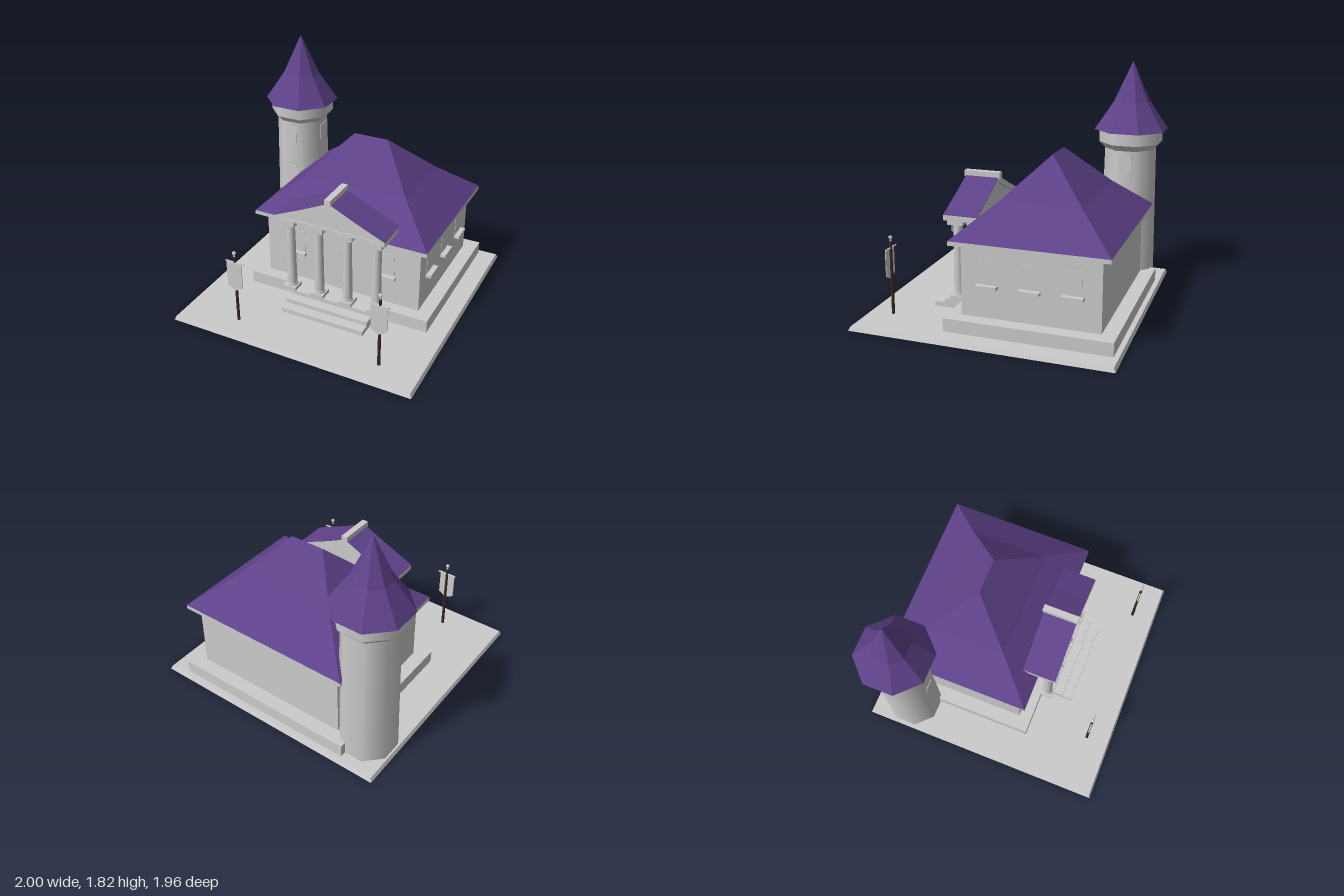
import * as THREE from 'three';
import { toCreasedNormals } from 'three/addons/utils/BufferGeometryUtils.js';

const grey = new THREE.MeshStandardMaterial({ color: 0xcccccc });
const purple = new THREE.MeshStandardMaterial({ color: 0x5f428a });
const brown = new THREE.MeshStandardMaterial({ color: 0x3a291c });
const CX = 0.088; // centre line of the hall
const OCT = 1 / Math.cos(Math.PI / 8); // flat-to-corner ratio of an octagon

export function createModel() {
  const root = new THREE.Group();

  function add(name, geometry, material = grey, parent = root) {
    const mesh = new THREE.Mesh(geometry, material);
    mesh.name = name;
    parent.add(mesh);
    return mesh;
  }
  // Box given by its limits on each axis
  function box(name, x0, x1, y0, y1, z0, z1, parent = root) {
    const mesh = add(name, new THREE.BoxGeometry(x1 - x0, y1 - y0, z1 - z0), grey, parent);
    mesh.position.set((x0 + x1) / 2, (y0 + y1) / 2, (z0 + z1) / 2);
    return mesh;
  }
  // Upright cylinder from y0 to y1
  function drum(name, r0, r1, y0, y1, sides, parent, material = grey, start = 0) {
    const g = new THREE.CylinderGeometry(r1, r0, y1 - y0, sides, 1, false, start);
    add(name, g, material, parent).position.y = (y0 + y1) / 2;
  }
  // Flat-sided solid through stacked rectangles [y, halfX, halfZ]
  function rectLoft(levels) {
    const tri = [];
    const quad = (a, b, c, d) => tri.push(...a, ...b, ...c, ...a, ...c, ...d);
    const rings = levels.map(([y, a, b]) => [[-a, y, b], [a, y, b], [a, y, -b], [-a, y, -b]]);
    for (let i = 0; i < rings.length - 1; i++) {
      for (let k = 0; k < 4; k++) {
        const n = (k + 1) % 4;
        quad(rings[i][k], rings[i][n], rings[i + 1][n], rings[i + 1][k]);
      }
    }
    const [p, q, r, s] = rings[0];
    quad(s, r, q, p);
    quad(...rings[rings.length - 1]);
    const g = new THREE.BufferGeometry();
    g.setAttribute('position', new THREE.Float32BufferAttribute(tri, 3));
    g.computeVertexNormals();
    return g;
  }
  function extruded(points, depth) {
    const shape = new THREE.Shape(points.map(([x, y]) => new THREE.Vector2(x, y)));
    return new THREE.ExtrudeGeometry(shape, { depth, bevelEnabled: false });
  }

  // Ground, platform and steps
  add('ground', rectLoft([[0, 0.98, 0.98], [0.03, 0.967, 0.967]])).position.x = 0.02;
  box('platform', CX - 0.755, CX + 0.755, 0.03, 0.13, -0.93, 0.305);
  [[0.13, 0.395], [0.098, 0.475], [0.066, 0.555]].forEach(([top, front]) =>
    box('step', CX - 0.345, CX + 0.345, 0.03, top, 0.28, front));

  // Hall with hipped roof
  box('walls', CX - 0.646, CX + 0.646, 0.13, 0.67, -0.82, 0.205);
  box('eaves', CX - 0.716, CX + 0.716, 0.66, 0.692, -0.89, 0.275);
  add('mainRoof', rectLoft([[0.692, 0.716, 0.583], [0.93, 0.43, 0.305], [1.23, 0.14, 0.001]]), purple)
    .position.set(CX, 0, -0.308);
  box('door', CX - 0.083, CX + 0.083, 0.13, 0.49, 0.19, 0.208);

  // Windows, built facing +z at the origin
  function hallWindow(x, z, turn) {
    const g = new THREE.Group();
    g.name = 'window';
    box('pane', -0.062, 0.062, 0.37, 0.56, -0.02, 0.003, g);
    box('sill', -0.078, 0.078, 0.357, 0.38, -0.02, 0.043, g);
    g.position.set(x, 0, z);
    g.rotation.y = turn;
    root.add(g);
  }
  for (const side of [-1, 1]) hallWindow(CX + side * 0.38, 0.205, 0);
  for (const z of [0.005, -0.308, -0.62]) hallWindow(CX + 0.646, z, Math.PI / 2);

  // Portico columns
  for (let i = 0; i < 4; i++) {
    const column = new THREE.Group();
    column.name = 'column';
    box('plinth', -0.054, 0.054, 0.13, 0.16, -0.054, 0.054, column);
    drum('base ring', 0.046, 0.043, 0.16, 0.178, 16, column);
    drum('shaft', 0.039, 0.033, 0.178, 0.715, 16, column);
    box('capital', -0.06, 0.06, 0.712, 0.755, -0.06, 0.06, column);
    column.position.set(CX + (i - 1.5) * 0.24, 0, 0.346);
    root.add(column);
  }

  // Portico gable: beam, pediment, raking cornice and roof skin
  box('portico beam', CX - 0.41, CX + 0.41, 0.75, 0.772, 0.18, 0.4);
  const rake = [[-0.45, 0.795], [-0.225, 0.893], [0, 1.0], [0.225, 0.893], [0.45, 0.795]];
  const band = (low, high) => [
    ...rake.map(([x, y]) => [x, y + low]),
    ...rake.map(([x, y]) => [x, y + high]).reverse()];
  add('pediment', extruded([
    [-0.42, 0.76], [0.42, 0.76], [0.42, 0.778], [0.225, 0.863], [0, 0.97], [-0.225, 0.863], [-0.42, 0.778]],
  0.2)).position.set(CX, 0, 0.19);
  add('raking cornice', extruded(band(-0.042, 0), 0.265)).position.set(CX, 0, 0.158);
  add('portico roof', extruded(band(-0.001, 0.004), 0.263), purple).position.set(CX, 0, 0.158);
  box('portico ridge', CX - 0.025, CX + 0.025, 0.985, 1.032, 0.147, 0.433);

  // Octagonal corner tower with smooth sides
  const tower = new THREE.Group();
  tower.name = 'tower';
  tower.position.set(-0.723, 0, -0.676);
  root.add(tower);
  const turn = Math.PI / 8;
  drum('tower shaft', 0.208 * OCT, 0.193 * OCT, 0.03, 1.125, 8, tower, grey, turn);
  drum('tower flare', 0.193 * OCT, 0.238 * OCT, 1.125, 1.175, 8, tower, grey, turn);
  drum('tower collar', 0.238 * OCT, 0.238 * OCT, 1.175, 1.275, 8, tower, grey, turn);
  const spire = [[0, 1.275], [0.276 * OCT, 1.275], [0.135 * OCT, 1.5], [0, 1.82]];
  add('tower roof', toCreasedNormals(
    new THREE.LatheGeometry(spire.map(([r, y]) => new THREE.Vector2(r, y)), 8, turn), 0.05), purple, tower);
  box('tower window', -0.048, 0.048, 0.945, 1.08, 0.15, 0.199, tower);
  box('tower window', -0.048, 0.048, 0.597, 0.73, 0.15, 0.203, tower);
  box('tower window', 0.15, 0.199, 0.945, 1.08, -0.048, 0.048, tower);

  // Banner poles
  for (const side of [-1, 1]) {
    const banner = new THREE.Group();
    banner.name = 'banner';
    banner.position.set(CX + side * 0.585, 0, 0.787);
    root.add(banner);
    drum('pole', 0.012, 0.01, 0.03, 0.595, 10, banner, brown);
    drum('finial neck', 0.008, 0.006, 0.59, 0.62, 10, banner);
    add('finial', new THREE.SphereGeometry(0.015, 12, 8), grey, banner).position.y = 0.625;
    const bar = add('crossbar', new THREE.CylinderGeometry(0.006, 0.006, 0.156, 8), grey, banner);
    bar.rotation.z = Math.PI / 2;
    bar.position.y = 0.545;
    add('flag', extruded([
      [-0.064, 0.545], [-0.064, 0.338], [0, 0.303], [0.064, 0.338], [0.064, 0.545]], 0.006),
    grey, banner).position.z = 0.008;
  }
  return root;
}
